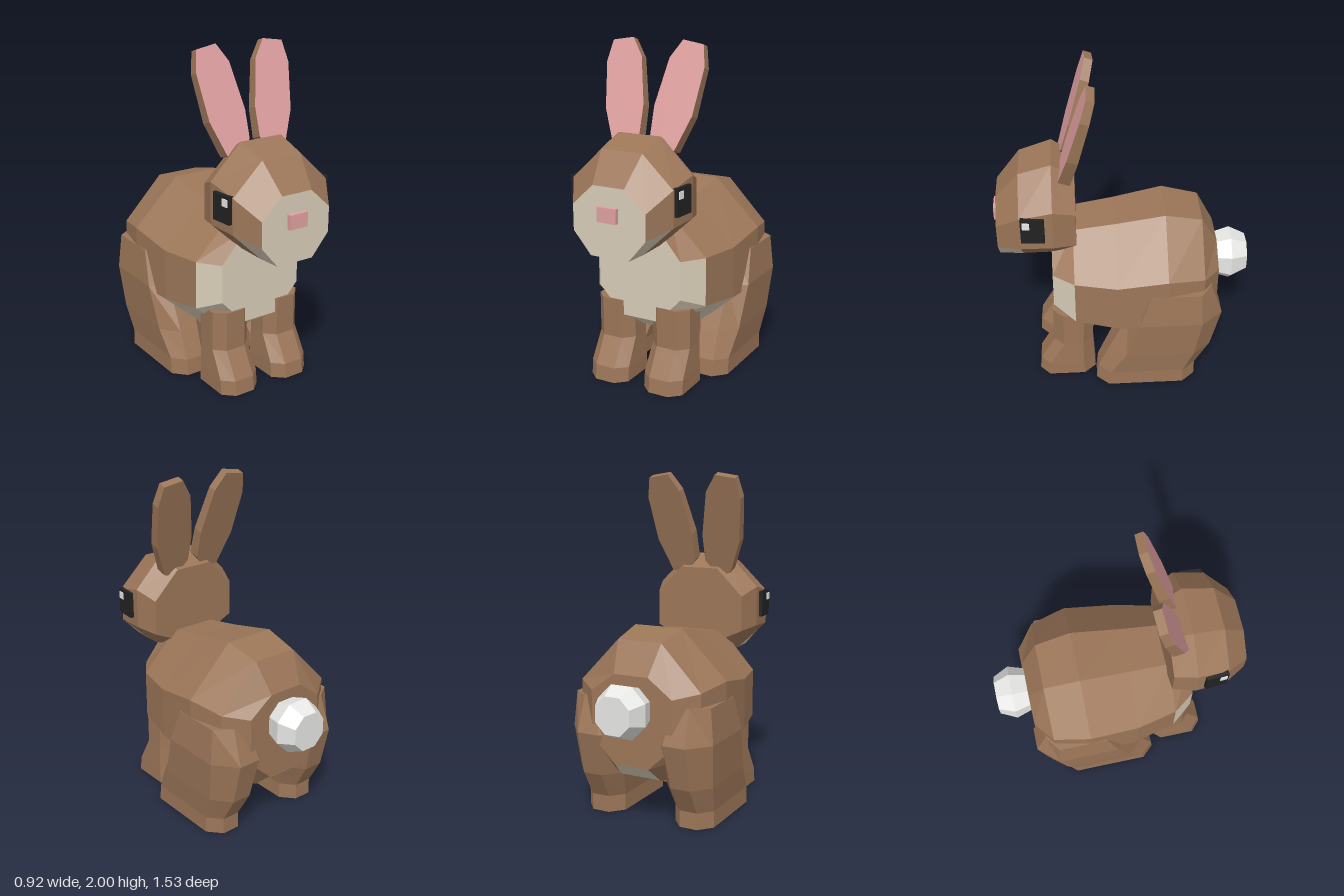
import * as THREE from 'three';

const mat = (name, color) => {
  const m = new THREE.MeshStandardMaterial({ color });
  m.name = name;
  return m;
};

// Joins rings of points into a closed, faceted solid. Points run counter-clockwise
// seen from the first ring's end; paint(segment, side) picks a material.
function loft(name, rings, paint) {
  const faces = new Map();
  const tri = (m, ...pts) => {
    if (!faces.has(m)) faces.set(m, []);
    pts.forEach(p => faces.get(m).push(...p));
  };
  const n = rings[0].length;
  for (let i = 0; i < rings.length - 1; i++) {
    const a = rings[i], b = rings[i + 1];
    for (let j = 0; j < n; j++) {
      const k = (j + 1) % n, m = paint(i, j);
      tri(m, a[j], b[j], b[k]);
      tri(m, a[j], b[k], a[k]);
    }
  }
  const first = rings[0], last = rings[rings.length - 1];
  for (let j = 1; j < n - 1; j++) {
    tri(paint('start', j), first[0], first[j], first[j + 1]);
    tri(paint('end', j), last[0], last[j + 1], last[j]);
  }
  const geo = new THREE.BufferGeometry(), pos = [], mats = [];
  for (const [m, list] of faces) {
    geo.addGroup(pos.length / 3, list.length / 3, mats.length);
    pos.push(...list);
    mats.push(m);
  }
  geo.setAttribute('position', new THREE.Float32BufferAttribute(pos, 3));
  geo.computeVertexNormals();
  const mesh = new THREE.Mesh(geo, mats);
  mesh.name = name;
  return mesh;
}

// Upright eight-sided section: side 0 is left, 2 top, 4 right, 6 bottom
const section = ([z, w, up, lo, tw, top, bw, bot]) => [
  [w, lo, z], [w, up, z], [tw, top, z], [-tw, top, z],
  [-w, up, z], [-w, lo, z], [-bw, bot, z], [bw, bot, z]];

// Level eight-sided section for legs, mirrored by s
const legSection = s => ([y, front, back, inner, outer, cf, cb, cx]) => {
  const x0 = Math.min(s * inner, s * outer), x1 = Math.max(s * inner, s * outer);
  return [
    [x1, y, front - cf], [x1, y, back + cb], [x1 - cx, y, back], [x0 + cx, y, back],
    [x0, y, back + cb], [x0, y, front - cf], [x0 + cx, y, front], [x1 - cx, y, front]];
};

export function createModel() {
  const brown = mat('brown fur', 0x9c7658);
  const cream = mat('cream fur', 0xd8cdb8);
  const white = mat('white', 0xe8e8e6);
  const pink = mat('pink', 0xe0a0a0);
  const black = mat('black', 0x222222);
  const model = new THREE.Group();
  model.name = 'rabbit';

  // Body with cream chest and belly
  model.add(loft('body', [
    [0.43, 0.27, 0.79, 0.56, 0.11, 0.98, 0.12, 0.40],
    [0.30, 0.365, 0.79, 0.50, 0.13, 1.02, 0.13, 0.31],
    [0.05, 0.42, 0.79, 0.48, 0.14, 1.06, 0.14, 0.22],
    [-0.25, 0.44, 0.84, 0.47, 0.155, 1.12, 0.15, 0.21],
    [-0.47, 0.39, 0.81, 0.47, 0.14, 1.07, 0.13, 0.27],
    [-0.57, 0.26, 0.78, 0.50, 0.11, 0.89, 0.11, 0.36],
  ].map(section), (i, j) => {
    if (i === 'start') return cream;
    if (i === 'end') return brown;
    if (j === 6) return cream;
    if ((j === 5 || j === 7) && i < 3) return cream;
    return i === 0 && (j === 0 || j === 4) ? cream : brown;
  }));

  // Head with cream muzzle
  model.add(loft('head', [
    [0.74, 0.23, 1.14, 0.99, 0.10, 1.26, 0.12, 0.86],
    [0.60, 0.32, 1.25, 1.04, 0.13, 1.43, 0.13, 0.86],
    [0.41, 0.335, 1.295, 1.05, 0.14, 1.49, 0.14, 0.87],
    [0.28, 0.29, 1.245, 1.03, 0.12, 1.41, 0.12, 0.95],
  ].map(section), (i, j) =>
    i === 'start' || (i === 0 && j >= 5) ? cream : brown));

  const nose = new THREE.Mesh(new THREE.BoxGeometry(0.12, 0.085, 0.04), pink);
  nose.name = 'nose';
  nose.position.set(0, 1.108, 0.745);
  model.add(nose);

  // Tail
  const tailSection = ([z, r]) => section(
    [z, r, 0.705 + r * 0.43, 0.705 - r * 0.43, r * 0.43, 0.705 + r, r * 0.43, 0.705 - r]);
  model.add(loft('tail',
    [[-0.56, 0.12], [-0.67, 0.152], [-0.77, 0.108]].map(tailSection), () => white));

  // Ear outline with the depth of the front edge falling back as it rises
  const earOutline = [
    [0.11, 1.39], [0.20, 1.41], [0.28, 1.60], [0.315, 1.86],
    [0.29, 1.98], [0.16, 2.0], [0.09, 1.90], [0.035, 1.64], [0.035, 1.48]];

  for (const s of [1, -1]) {
    const side = s > 0 ? 'left' : 'right';

    const earRing = back => {
      const pts = earOutline.map(([x, y]) => {
        const depth = back * (0.07 - (y - 1.4) * 0.04);
        return [s * x, y - depth * 0.35, 0.375 - (y - 1.41) * 0.297 - depth];
      });
      return s > 0 ? pts : pts.reverse();
    };
    model.add(loft(side + 'Ear', [earRing(0), earRing(1)],
      i => (i === 'start' ? pink : brown)));

    // Eye with highlight
    const eye = new THREE.Group();
    eye.name = side + 'Eye';
    const pupil = new THREE.Mesh(new THREE.BoxGeometry(0.035, 0.16, 0.135), black);
    pupil.name = 'pupil';
    const glint = new THREE.Mesh(new THREE.BoxGeometry(0.012, 0.042, 0.042), white);
    glint.name = 'glint';
    glint.position.set(s * 0.018, 0.04, 0.035);
    eye.add(pupil, glint);
    eye.position.set(s * 0.33, 1.18, 0.525);
    eye.rotation.y = -s * 0.08;
    model.add(eye);

    // Legs: height, front, back, inner, outer, front, back and side chamfers
    model.add(loft(side + 'FrontLeg', [
      [0.49, 0.44, 0.19, 0.06, 0.305, 0.06, 0.06, 0.06],
      [0.25, 0.44, 0.20, 0.06, 0.305, 0.06, 0.06, 0.06],
      [0.09, 0.53, 0.19, 0.055, 0.31, 0.06, 0.07, 0.065],
      [0, 0.54, 0.185, 0.055, 0.31, 0.06, 0.07, 0.065],
    ].map(legSection(s)), () => brown));

    model.add(loft(side + 'HindLeg', [
      [0.73, -0.12, -0.52, 0.15, 0.44, 0.03, 0.07, 0.10],
      [0.52, -0.02, -0.59, 0.10, 0.46, 0.06, 0.13, 0.11],
      [0.26, 0.10, -0.53, 0.14, 0.44, 0.10, 0.11, 0.09],
      [0.10, 0.17, -0.44, 0.17, 0.42, 0.075, 0.08, 0.07],
      [0, 0.18, -0.44, 0.17, 0.42, 0.075, 0.08, 0.07],
    ].map(legSection(s)), () => brown));
  }
  return model;
}
